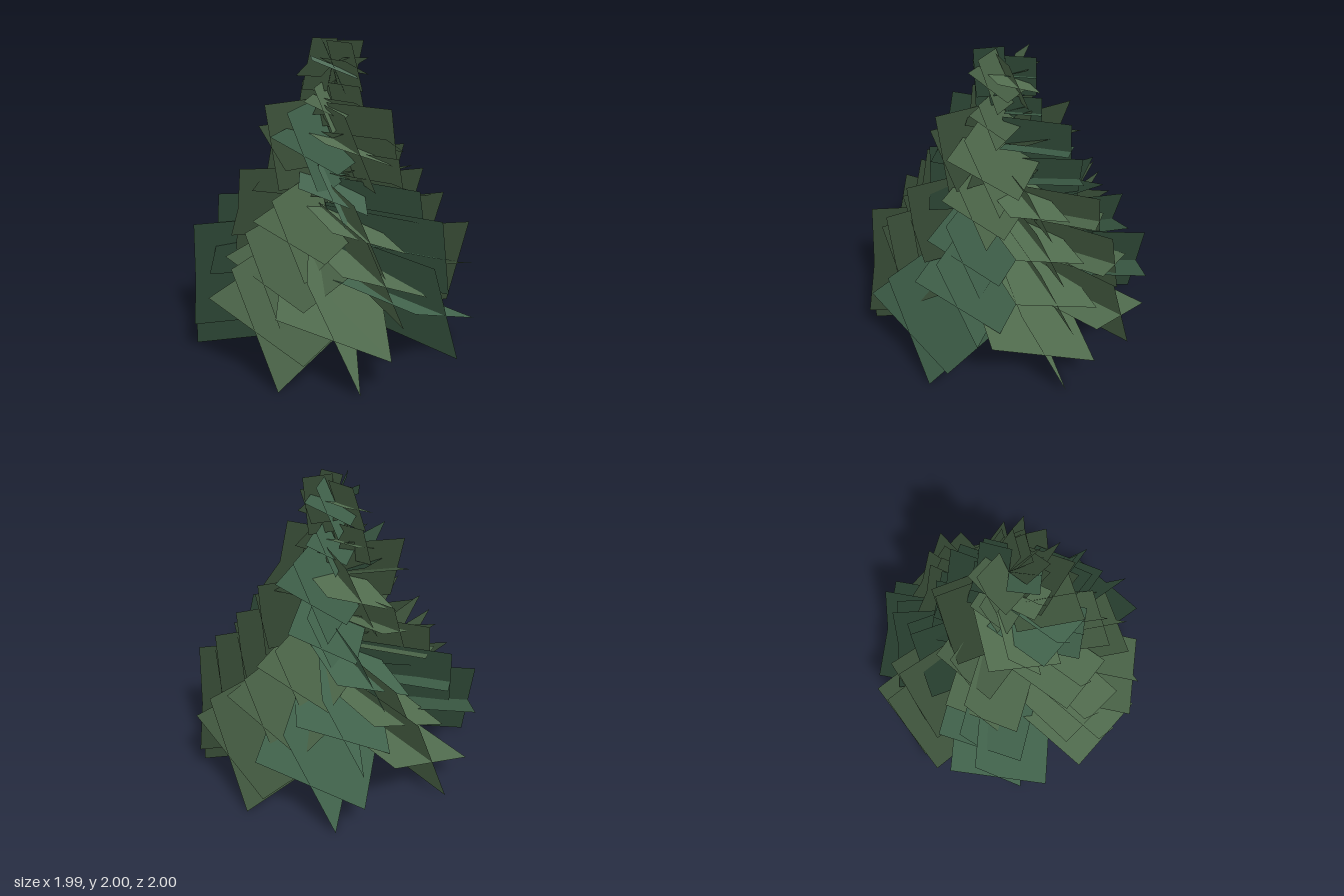
import * as THREE from 'three';

const rad = THREE.MathUtils.degToRad;

// Whorls from bottom to top: height, branch length, card widths, compass angles
const tiers = [
  { y: 0.41, length: 0.943, upright: 0.8, flat: 0.73, angles: [-115, -65, -28, 11, 67, 115, 145, 198] },
  { y: 0.648, length: 0.8, upright: 0.66, flat: 0.62, angles: [-110, -78, -40, 2, 48, 92, 147, 208] },
  { y: 0.873, length: 0.65, upright: 0.55, flat: 0.53, angles: [-150, -96, -50, 0, 50, 95, 140] },
  { y: 1.095, length: 0.5, upright: 0.46, flat: 0.46, angles: [-130, -65, 0, 50, 115] },
  { y: 1.355, length: 0.43, upright: 0.56, flat: 0.5, angles: [-97, -54, 45, 92, 140, 180] },
  { y: 1.59, length: 0.23, upright: 0.31, flat: 0.28, angles: [-135, -60, 55, 130] },
  { y: 1.84, length: 0.19, upright: 0.35, flat: 0.31, angles: [-125, -60, 0, 60, 110] },
];
const droop = 0.043;

const oliveNeedles = new THREE.MeshStandardMaterial({ color: 0x5a7857, side: THREE.DoubleSide });
const blueNeedles = new THREE.MeshStandardMaterial({ color: 0x4a7056, side: THREE.DoubleSide });

// Flat needle card from the trunk axis outwards, rolled about its branch and
// sagging towards the tip; normals point outwards so the foliage shades as one mass
function needleCard(name, length, width, roll, material) {
  const geometry = new THREE.PlaneGeometry(length, width);
  geometry.translate(length / 2, 0, 0);
  geometry.rotateX(rad(roll + 180));
  const { position, normal } = geometry.attributes;
  for (let i = 0; i < position.count; i++) {
    position.setY(i, position.getY(i) - droop * position.getX(i));
    normal.setXYZ(i, 0.995, 0.1, 0);
  }
  const card = new THREE.Mesh(geometry, material);
  card.name = name;
  return card;
}

// One branch is a pair of cards crossing along its centre line
function makeBranch(tier, angle, material) {
  const branch = new THREE.Group();
  branch.name = 'branch';
  branch.add(
    needleCard('uprightNeedleCard', tier.length, tier.upright, 23, material),
    needleCard('flatNeedleCard', tier.length, tier.flat, 67.5, material),
  );
  branch.rotation.y = rad(-angle);
  branch.position.y = tier.y;
  return branch;
}

export function createModel() {
  const tree = new THREE.Group();
  tree.name = 'coniferTree';
  tiers.forEach((tier, i) => {
    const whorl = new THREE.Group();
    whorl.name = `branchTier${i + 1}`;
    tier.angles.forEach((angle, j) => {
      whorl.add(makeBranch(tier, angle, j % 3 === 1 ? blueNeedles : oliveNeedles));
    });
    tree.add(whorl);
  });
  return tree;
}
